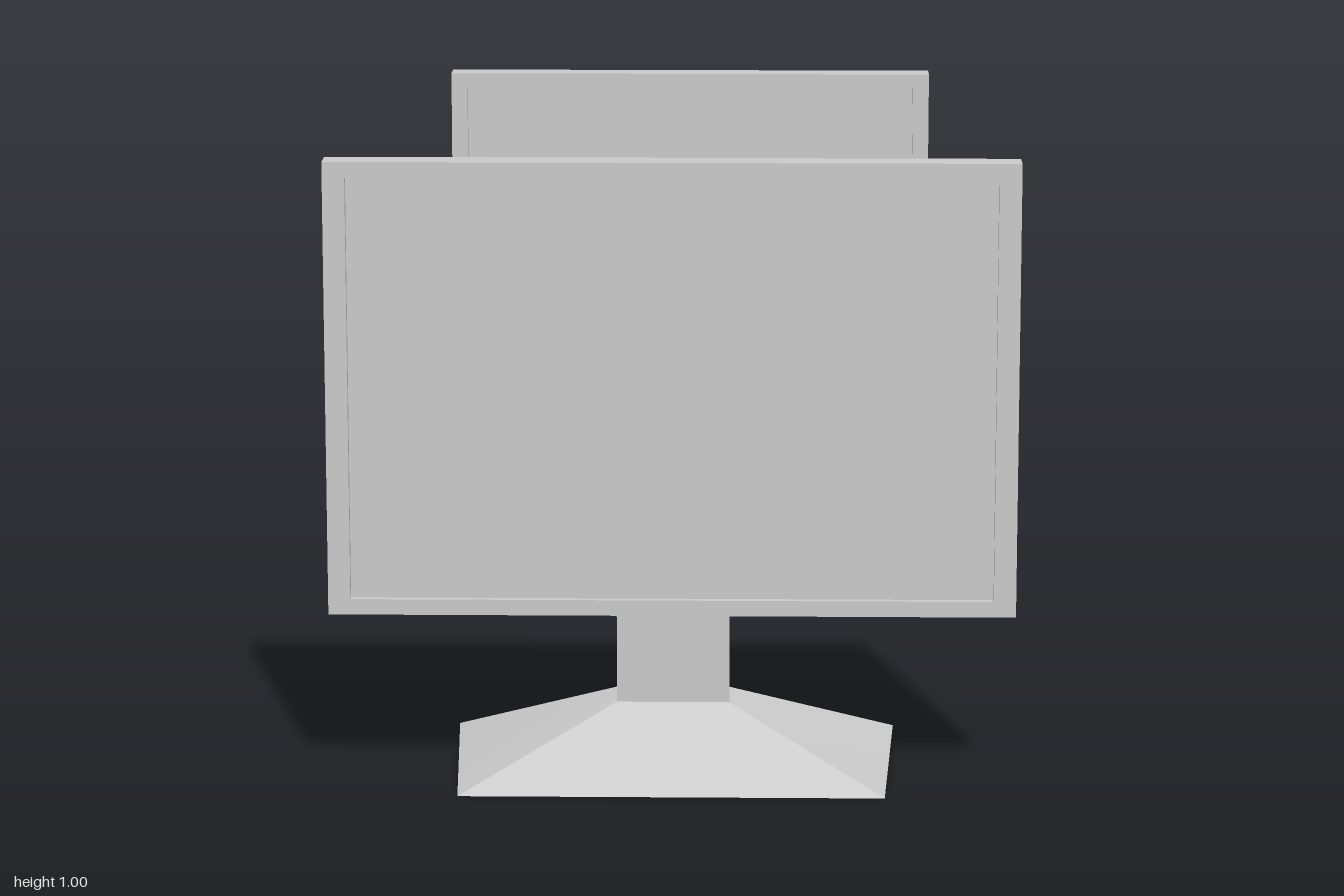
import * as THREE from 'three';
import { toCreasedNormals } from 'three/addons/utils/BufferGeometryUtils.js';

const material = new THREE.MeshStandardMaterial({ color: 0xcccccc, side: THREE.DoubleSide });

// Skins a row of four-cornered rings, running front to back or top to bottom.
function loft(name, rings, capStart = true, capEnd = true) {
  const positions = rings.flat(2);
  const index = [];
  for (let r = 0; r < rings.length - 1; r++) {
    for (let i = 0; i < 4; i++) {
      const a = r * 4 + i;
      const b = r * 4 + (i + 1) % 4;
      index.push(a, a + 4, b + 4, a, b + 4, b);
    }
  }
  const e = (rings.length - 1) * 4;
  if (capStart) index.push(0, 1, 2, 0, 2, 3);
  if (capEnd) index.push(e, e + 2, e + 1, e, e + 3, e + 2);
  const geometry = new THREE.BufferGeometry();
  geometry.setAttribute('position', new THREE.Float32BufferAttribute(positions, 3));
  geometry.setIndex(index);
  const mesh = new THREE.Mesh(toCreasedNormals(geometry, 0.45), material);
  mesh.name = name;
  return mesh;
}

// Upright rectangle at depth z
const upright = (w, y0, y1, z) => [[-w, y0, z], [w, y0, z], [w, y1, z], [-w, y1, z]];

// Level or tilted trapezoid: half width, height and depth of its front and back edges
const level = ([wf, yf, zf], [wb, yb, zb]) =>
  [[-wf, yf, zf], [wf, yf, zf], [wb, yb, zb], [-wb, yb, zb]];

function createMonitor(name, p) {
  const group = new THREE.Group();
  group.name = name;
  const { w, y0, y1, front, rear } = p.panel;
  const [sw, s0, s1] = p.screen;
  const { zf, zb, wf, wb, topF, topB, low } = p.neck;
  const [mw, mz] = p.mount;
  const recess = front - 0.012;

  // Recessed screen and bezelled housing with a tapered back
  group.add(loft('screen', [upright(sw, s0, s1, recess)], true, false));
  group.add(loft('housing', [
    upright(sw, s0, s1, recess),
    upright(sw, s0, s1, front),
    upright(w, y0, y1, front),
    upright(w, y0, y1, rear),
    upright(mw, low, topF, mz),
  ], false, true));

  // Flared mount joining the neck to the housing
  group.add(loft('mount', [
    level([mw, topF, mz], [wf, topF - 0.003, zf]),
    level([mw, low, mz], [wf, low, zf]),
  ]));

  // Neck, narrower at the back
  const [footF, footB] = p.foot;
  group.add(loft('neck', [
    level([wf, topF - 0.003, zf], [wb, topB, zb]),
    level([wf, footF, zf], [wb, footB, zb]),
  ]));

  // Hollow sloping base, open underneath
  group.add(loft('base', [
    level([wf, footF, zf], [wb, footB, zb]),
    level(...p.base),
  ], false, false));
  return group;
}

export function createModel() {
  const model = new THREE.Group();
  model.name = 'monitors';

  model.add(createMonitor('frontMonitor', {
    panel: { w: 0.54, y0: 0.275, y1: 0.995, front: 0.93, rear: 0.88 },
    screen: [0.505, 0.3, 0.97],
    mount: [0.105, 0.835],
    neck: { zf: 0.823, zb: 0.763, wf: 0.09, wb: 0.073, topF: 0.565, topB: 0.55, low: 0.4 },
    foot: [0.105, 0.118],
    base: [[0.335, 0, 1], [0.358, 0, 0.585]],
  }));

  model.add(createMonitor('rearMonitor', {
    panel: { w: 0.45, y0: 0.185, y1: 0.905, front: -0.688, rear: -0.74 },
    screen: [0.42, 0.207, 0.88],
    mount: [0.09, -0.795],
    neck: { zf: -0.805, zb: -0.845, wf: 0.077, wb: 0.066, topF: 0.423, topB: 0.41, low: 0.313 },
    foot: [0.095, 0.105],
    base: [[0.28, 0.01, -0.655], [0.253, 0.014, -1]],
  }));

  return model;
}
